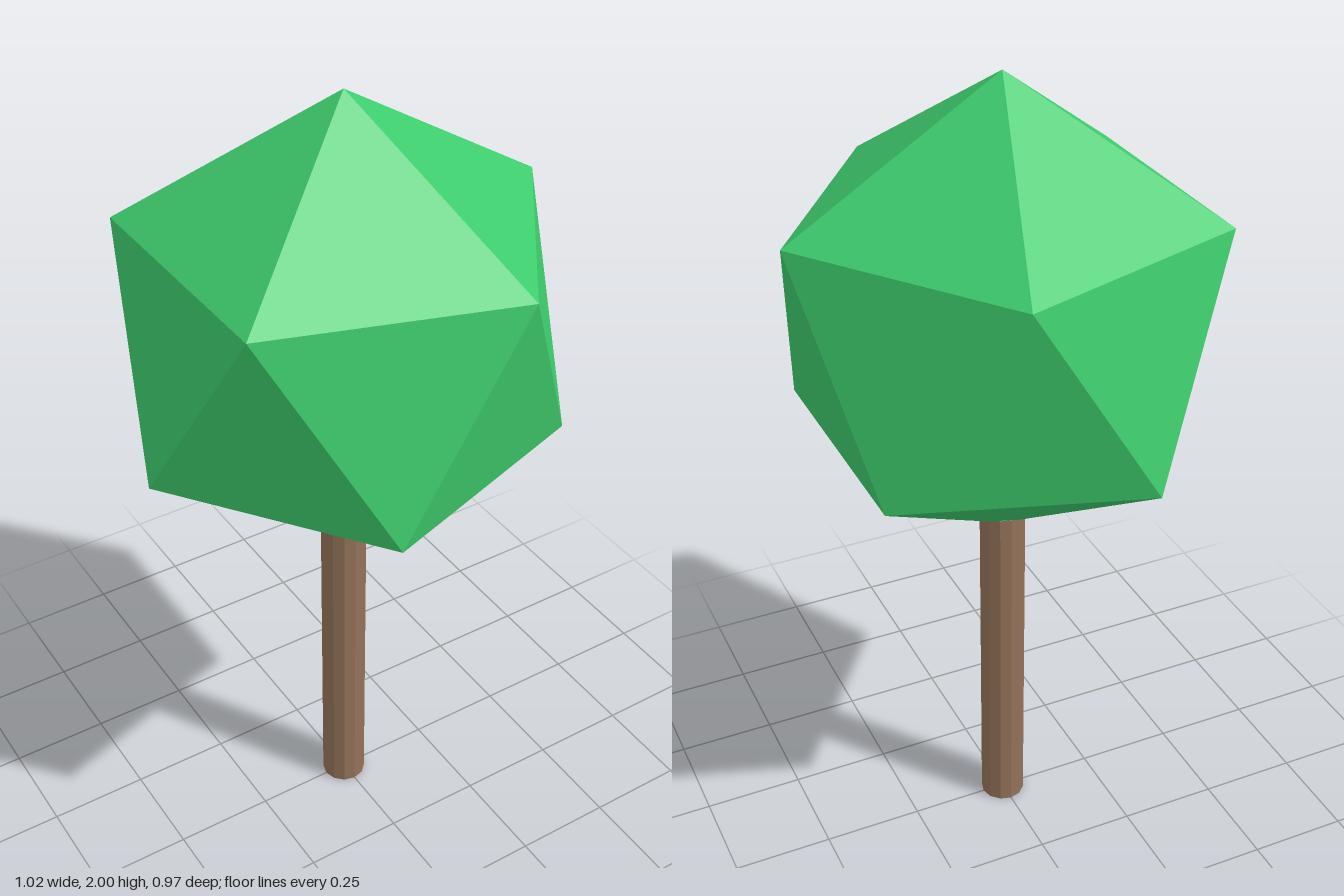
import * as THREE from 'three';

export function createModel() {
  const leafGreen = new THREE.MeshStandardMaterial({ color: 0x3ecb6d });
  leafGreen.name = 'leafGreen';
  const barkBrown = new THREE.MeshStandardMaterial({ color: 0x947259 });
  barkBrown.name = 'barkBrown';

  const tree = new THREE.Group();
  tree.name = 'tree';

  // Crown: regular icosahedron tipped so one corner points straight up
  const radius = 0.57;
  const golden = (1 + Math.sqrt(5)) / 2;
  const crownGeometry = new THREE.IcosahedronGeometry(radius, 0);
  crownGeometry.rotateZ(-Math.atan(1 / golden));
  const crown = new THREE.Mesh(crownGeometry, leafGreen);
  crown.name = 'crown';
  crown.position.y = 2 - radius;
  tree.add(crown);

  // Trunk: slim faceted post with green end caps
  const trunkHeight = 0.9;
  const trunkGeometry = new THREE.CylinderGeometry(0.056, 0.056, trunkHeight, 12).toNonIndexed();
  trunkGeometry.computeVertexNormals();
  const trunk = new THREE.Mesh(trunkGeometry, [barkBrown, leafGreen, leafGreen]);
  trunk.name = 'trunk';
  trunk.position.y = trunkHeight / 2;
  tree.add(trunk);

  return tree;
}
